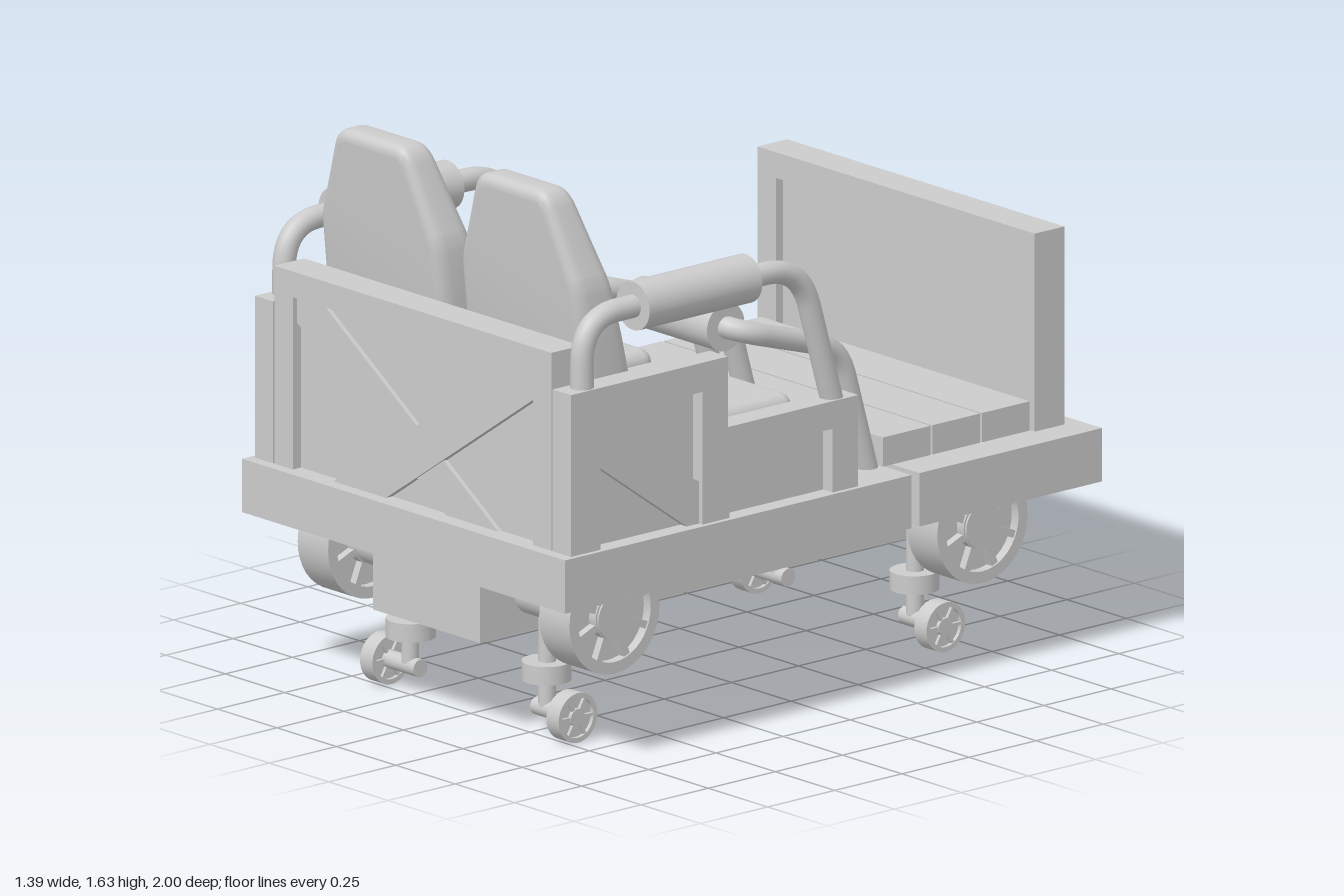
import * as THREE from 'three';
import { toCreasedNormals } from 'three/addons/utils/BufferGeometryUtils.js';
import { RoundedBoxGeometry } from 'three/addons/geometries/RoundedBoxGeometry.js';

const mat = new THREE.MeshStandardMaterial({ color: 0xcccccc });

function add(parent, name, geo) {
  const m = new THREE.Mesh(geo, mat);
  m.name = name;
  parent.add(m);
  return m;
}

// Box given by its minimum and maximum on each axis
function box(parent, name, x0, x1, y0, y1, z0, z1) {
  const g = new THREE.BoxGeometry(x1 - x0, y1 - y0, z1 - z0);
  g.translate((x0 + x1) / 2, (y0 + y1) / 2, (z0 + z1) / 2);
  return add(parent, name, g);
}

const poly = (pts) => new THREE.Shape(pts.map((p) => new THREE.Vector2(p[0], p[1])));
const plate = (pts, depth) => new THREE.ExtrudeGeometry(poly(pts), { depth, bevelEnabled: false });

// Plate drawn in (z, y), with thickness running along x
const sidePlate = (pts, depth, xMax) => plate(pts, depth).rotateY(-Math.PI / 2).translate(xMax, 0, 0);

// Cylinder lying along x
function rodX(parent, name, r, x0, x1, y, z, seg = 28) {
  const g = new THREE.CylinderGeometry(r, r, Math.abs(x1 - x0), seg);
  g.rotateZ(Math.PI / 2).translate((x0 + x1) / 2, y, z);
  return add(parent, name, g);
}

// Bent pipe: straight runs joined by rounded corners
function pipe(parent, name, pts, r, bend) {
  const p = pts.map((a) => new THREE.Vector3(...a));
  const path = new THREE.CurvePath();
  let from = p[0];
  for (let i = 1; i < p.length - 1; i++) {
    const a = p[i].clone().add(p[i - 1].clone().sub(p[i]).setLength(bend));
    const b = p[i].clone().add(p[i + 1].clone().sub(p[i]).setLength(bend));
    path.add(new THREE.LineCurve3(from, a));
    path.add(new THREE.QuadraticBezierCurve3(a, p[i], b));
    from = b;
  }
  path.add(new THREE.LineCurve3(from, p[p.length - 1]));
  return add(parent, name, new THREE.TubeGeometry(path, 90, r, 16, false));
}

// Deck: a top plate with a deep rim, hollow underneath
function deck(parent, name, z0, z1) {
  const g = new THREE.Group();
  g.name = name;
  const w = 0.68, rim = 0.09, y0 = 0.485, y1 = 0.64;
  const s = poly([[-w, -z1], [w, -z1], [w, -z0], [-w, -z0]]);
  s.holes.push(poly([[-w + rim, -z1 + rim], [-w + rim, -z0 - rim], [w - rim, -z0 - rim], [w - rim, -z1 + rim]]));
  add(g, 'deckRim', new THREE.ExtrudeGeometry(s, { depth: y1 - y0, bevelEnabled: false }).rotateX(-Math.PI / 2).translate(0, y0, 0));
  box(g, 'deckPlate', -w + rim, w - rim, 0.545, y1, z0 + rim, z1 - rim);
  parent.add(g);
}

// End wall facing +z: frame, recessed panel and crossed braces
function endWall(name) {
  const g = new THREE.Group();
  g.name = name;
  const W = 0.583, w = 0.505, y0 = 0.64, yi = 1.14, y1 = 1.215, t = 0.11;
  add(g, 'wallFrame', plate([[-W, y0], [-w, y0], [-w, yi], [w, yi], [w, y0], [W, y0], [W, y1], [-W, y1]], t));
  box(g, 'wallPanel', -w, w, y0, yi, 0.025, 0.08);
  const brace = [[w, yi], [0.395, yi], [-0.34, y0], [-0.12, y0], [w, 1.063]];
  add(g, 'topBrace', plate(brace, 0.024).translate(0, 0, 0.08));
  add(g, 'underBrace', plate(brace.map(([x, y]) => [-x, y]).reverse(), 0.014).translate(0, 0, 0.08));
  return g;
}

// Wheel with rim, recessed web, hub and spokes, axis along x
function wheel(name, r, width, hubR, spokes) {
  const g = new THREE.Group();
  g.name = name;
  const inner = r * 0.8, h = width / 2;
  const profile = [[inner, -h], [r, -h], [r, h], [inner, h], [inner, -h]].map((p) => new THREE.Vector2(...p));
  add(g, 'tyre', toCreasedNormals(new THREE.LatheGeometry(profile, 40).rotateZ(Math.PI / 2), 0.6));
  rodX(g, 'web', inner, -h * 0.55, h * 0.55, 0, 0, 40);
  rodX(g, 'hub', hubR, -h, h, 0, 0);
  for (let i = 0; i < spokes; i++) {
    const s = add(g, 'spoke', new THREE.BoxGeometry(width * 0.92, inner * 1.02 - hubR * 0.8, r * 0.13).translate(0, (inner + hubR * 0.8) / 2, 0));
    s.rotation.x = ((i + 0.5) / spokes) * Math.PI * 2;
  }
  return g;
}

// Tapering backrest, thicker and further forward at the bottom
function backrestGeometry() {
  const s = new THREE.Shape();
  s.moveTo(-0.25, 0.87);
  s.lineTo(0.25, 0.87);
  s.lineTo(0.257, 1.2);
  s.lineTo(0.252, 1.34);
  s.quadraticCurveTo(0.245, 1.38, 0.235, 1.4);
  s.lineTo(0.165, 1.58);
  s.quadraticCurveTo(0.145, 1.63, 0.1, 1.63);
  s.lineTo(-0.1, 1.63);
  s.quadraticCurveTo(-0.145, 1.63, -0.165, 1.58);
  s.lineTo(-0.235, 1.4);
  s.quadraticCurveTo(-0.245, 1.38, -0.252, 1.34);
  s.lineTo(-0.257, 1.2);
  const g = new THREE.ExtrudeGeometry(s, { depth: 0.05, bevelThickness: 0.035, bevelSize: 0.035, bevelOffset: -0.035, bevelSegments: 5, curveSegments: 6 });
  const p = g.attributes.position;
  for (let i = 0; i < p.count; i++) {
    const drop = 1.6 - p.getY(i), t = (p.getZ(i) + 0.035) / 0.12;
    p.setZ(i, THREE.MathUtils.lerp(0.755 - drop * 0.25, 0.868 - drop * 0.12, t));
  }
  return toCreasedNormals(g, 0.7);
}

export function createModel() {
  const root = new THREE.Group();
  root.name = 'rideCar';

  // Chassis and decks
  deck(root, 'frontDeck', -0.29, 1);
  deck(root, 'backDeck', -1, -0.32);
  box(root, 'chassisBeam', -0.225, 0.225, 0.285, 0.545, -0.915, 0.915);

  // End walls
  const front = endWall('frontWall');
  front.position.z = 0.855;
  const back = endWall('backWall');
  back.rotation.y = Math.PI;
  back.position.z = -0.835;
  root.add(front, back);

  // Floor planks
  for (let i = 0; i < 3; i++) {
    const z = -0.285 - i * 0.185;
    box(root, 'floorPlank', -0.565, 0.565, 0.64, 0.725, z - 0.177, z);
  }

  // Stepped side walls with recessed panels and a diagonal brace
  const outline = [[0.965, 0.64], [0.965, 1.11], [0.38, 1.11], [0.38, 0.905], [-0.105, 0.905], [-0.105, 0.64], [-0.01, 0.64],
    [-0.01, 0.825], [0.375, 0.825], [0.375, 0.64], [0.475, 0.64], [0.475, 1.025], [0.855, 1.025], [0.855, 0.64]];
  const strip = [[0.855, 0.99], [0.475, 0.762], [0.475, 0.64], [0.52, 0.64], [0.855, 0.88]];
  for (const s of [1, -1]) {
    const side = new THREE.Group();
    side.name = s > 0 ? 'leftSide' : 'rightSide';
    root.add(side);
    add(side, 'sideFrame', sidePlate(outline, 0.077, s > 0 ? 0.665 : -0.588));
    const a = s * 0.6, b = s * 0.625, lo = Math.min(a, b), hi = Math.max(a, b);
    box(side, 'tallPanel', lo, hi, 0.64, 1.025, 0.475, 0.855);
    box(side, 'lowPanel', lo, hi, 0.64, 0.825, -0.01, 0.375);
    add(side, 'sideBrace', sidePlate(strip, 0.03, s > 0 ? 0.65 : -0.62));

    // Arm rail with padded grip
    const x = s * 0.627;
    pipe(side, 'armRail', [[x, 1.08, 0.89], [x, 1.31, 0.89], [x, 1.31, 0.08], [x, 0.88, -0.045]], 0.033, 0.13);
    rodX(side, 'armPad', 0.07, -0.21, 0.21, 0, 0, 32).rotation.y = Math.PI / 2;
    side.children[side.children.length - 1].position.set(x, 1.31, 0.49);

    // Seat
    const seat = new THREE.Group();
    seat.name = s > 0 ? 'leftSeat' : 'rightSeat';
    root.add(seat);
    const c = s * 0.295;
    add(seat, 'cushion', new RoundedBoxGeometry(0.53, 0.14, 0.7, 5, 0.04).translate(c, 0.845, 0.38));
    add(seat, 'backrest', backrestGeometry().translate(c, 0, 0));

    // Lap bar with padded grip
    const m = s * 0.3, h = 0.236;
    pipe(seat, 'lapBar', [[m - h, 0.62, -0.256], [m - h, 1.01, -0.145], [m - h, 1.125, 0.225],
      [m + h, 1.125, 0.225], [m + h, 1.01, -0.145], [m + h, 0.62, -0.256]], 0.032, 0.09);
    rodX(seat, 'lapPad', 0.07, m - 0.18, m + 0.18, 1.125, 0.225, 32);
  }
  box(root, 'seatBase', -0.57, 0.57, 0.64, 0.79, 0.06, 0.85);

  // Running gear: road wheel plus guide wheel on a stem at each corner
  for (const z of [0.72, -0.65]) {
    rodX(root, 'axle', 0.065, -0.578, 0.578, 0.4, z);
    for (const s of [1, -1]) {
      const big = wheel('roadWheel', 0.168, 0.128, 0.07, 8);
      big.position.set(s * 0.508, 0.402, z);
      const small = wheel('guideWheel', 0.072, 0.052, 0.026, 6);
      small.position.set(s * 0.392, 0.072, z);
      root.add(big, small);
      add(root, 'guideStem', new THREE.CylinderGeometry(0.025, 0.025, 0.32, 20).translate(s * 0.288, 0.23, z));
      add(root, 'stemCollar', new THREE.CylinderGeometry(0.07, 0.07, 0.054, 28).translate(s * 0.286, 0.184, z));
      rodX(root, 'guideAxle', 0.026, s * 0.245, s * 0.4, 0.072, z, 20);
    }
  }
  return root;
}
